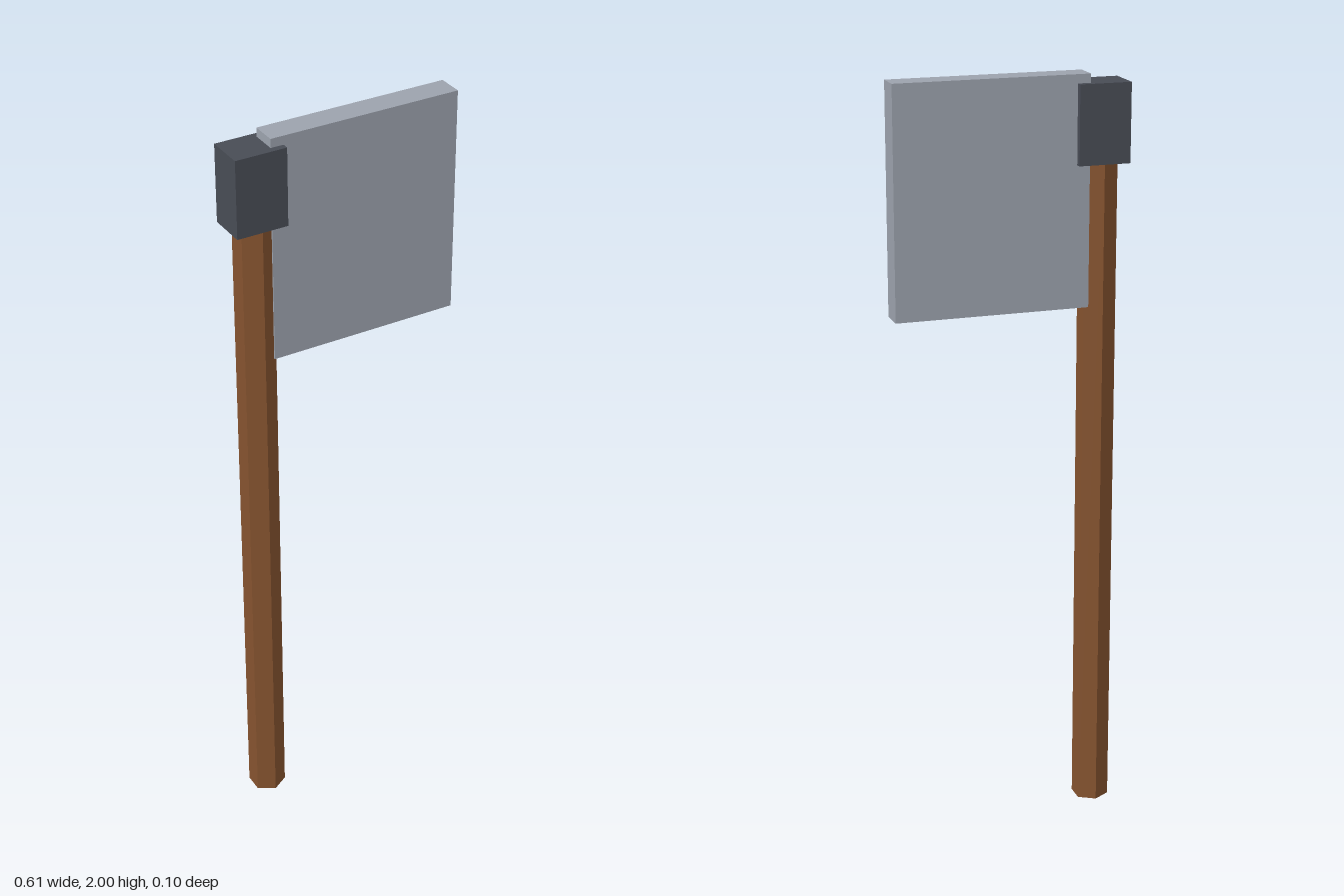
import * as THREE from 'three';

const wood = new THREE.MeshStandardMaterial({ name: 'brown wood', color: 0x85532f, flatShading: true });
const steel = new THREE.MeshStandardMaterial({ name: 'light steel', color: 0x9ca2ad, flatShading: true });
const iron = new THREE.MeshStandardMaterial({ name: 'dark iron', color: 0x484c55, flatShading: true });

function addPart(group, name, geometry, material, x, y) {
  const mesh = new THREE.Mesh(geometry, material);
  mesh.name = name;
  mesh.position.set(x, y, 0);
  group.add(mesh);
}

export function createModel() {
  const axe = new THREE.Group();
  axe.name = 'axe';

  // Six-sided shaft, its top hidden inside the collar
  const shaftHeight = 1.87;
  addPart(axe, 'handle', new THREE.CylinderGeometry(0.05, 0.05, shaftHeight, 6), wood, -0.239, shaftHeight / 2);

  // Iron block that clamps the blade to the shaft
  addPart(axe, 'collar', new THREE.BoxGeometry(0.136, 0.204, 0.102), iron, -0.239, 1.875);

  // Square slab blade, its inner edge sunk into the collar
  addPart(axe, 'blade', new THREE.BoxGeometry(0.511, 0.596, 0.068), steel, 0.0505, 1.702);

  return axe;
}
